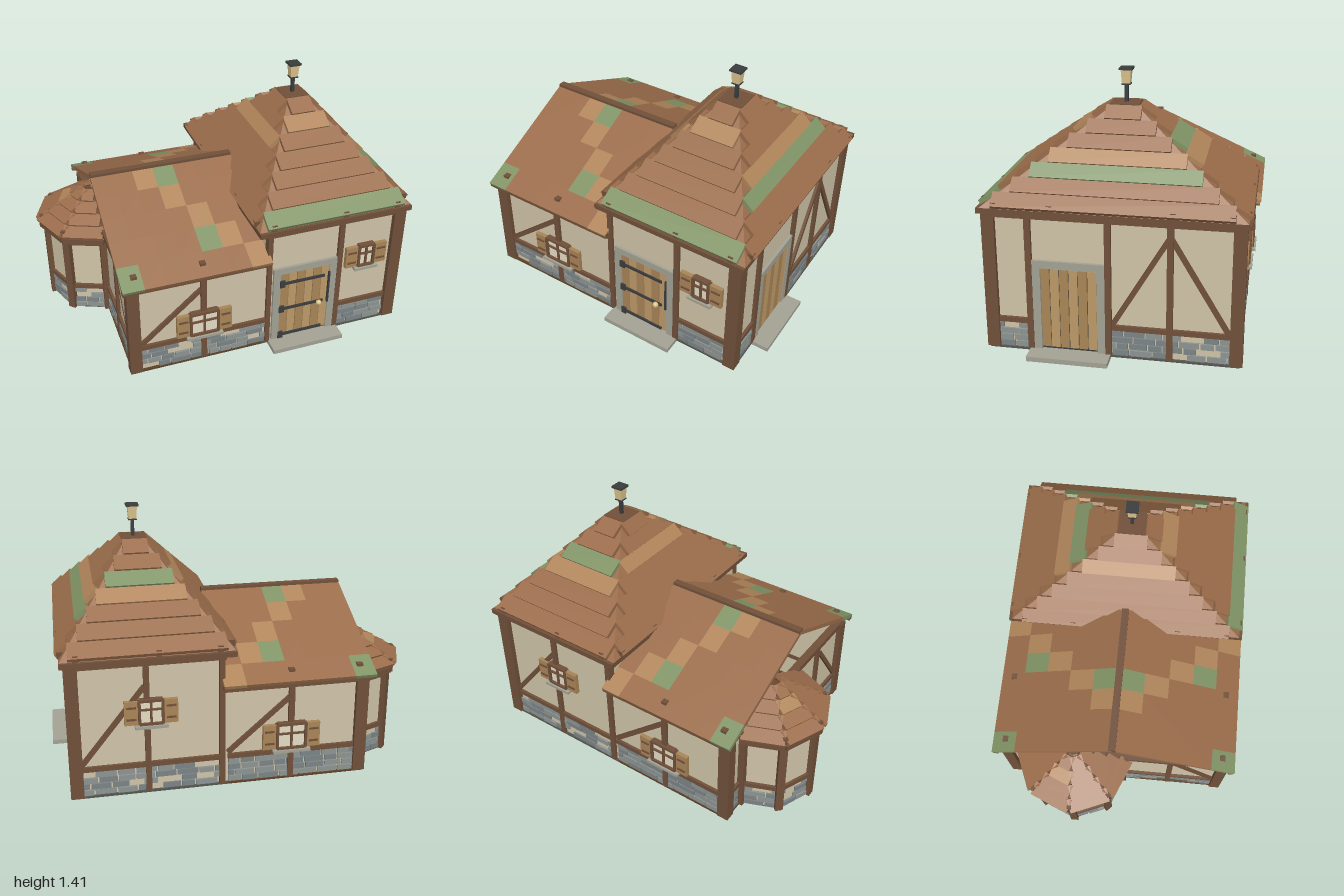
import * as THREE from 'three';

const C = { wall: 0xd0c4a8, timber: 0x70503a, stone: 0x8d9491, stone2: 0x7c8486, step: 0xa3a294, roof: 0x9a6c4a, light: 0xb0855a,
  green: 0x809365, plank: 0xa98557, plank2: 0xbd9a68, iron: 0x3a3c3e, glass: 0xe4dcc4, lamp: 0xdcc48c, floor: 0x555550, wood: 0x5c4228, under: 0x6a482f };
const mats = {};
const mat = c => (mats[c] ??= new THREE.MeshStandardMaterial({ color: C[c], flatShading: true, side: THREE.DoubleSide }));

let seed = 7;
const rand = () => (seed = (seed * 16807) % 2147483647) / 2147483647;

function mesh(parent, name, geometry, color) {
  const m = new THREE.Mesh(geometry, mat(color));
  m.name = name;
  parent.add(m);
  return m;
}
// Box given by its limits on each axis
function box(parent, name, color, x0, x1, y0, y1, z0, z1) {
  const m = mesh(parent, name, new THREE.BoxGeometry(x1 - x0, y1 - y0, z1 - z0), color);
  m.position.set((x0 + x1) / 2, (y0 + y1) / 2, (z0 + z1) / 2);
  return m;
}
function group(parent, name, x = 0, z = 0, turn = 0) {
  const g = new THREE.Group();
  g.name = name;
  g.position.set(x, 0, z);
  g.rotation.y = turn;
  parent.add(g);
  return g;
}

// Wall pieces: each wall is drawn as (u, y) with its outside facing local +z
const panel = (g, u0, u1, top) => box(g, 'plasterPanel', 'wall', u0, u1, 0.02, top, -0.02, 0);
const beam = (g, u0, u1, y0, y1, d = 0.018) => box(g, 'timberBeam', 'timber', u0, u1, y0, y1, -0.025, d);
function brace(g, u0, y0, u1, y1) {
  const m = mesh(g, 'brace', new THREE.BoxGeometry(Math.hypot(u1 - u0, y1 - y0), 0.026, 0.03), 'timber');
  m.position.set((u0 + u1) / 2, (y0 + y1) / 2, 0);
  m.rotation.z = Math.atan2(y1 - y0, u1 - u0);
}
function stones(g, u0, u1) {
  for (let r = 0; r < 4; r++) {
    let u = u0 + 0.004 - (r % 2) * 0.04;
    while (u < u1 - 0.01) {
      const w = 0.055 + rand() * 0.06, a = Math.max(u, u0 + 0.004), b = Math.min(u + w, u1 - 0.004);
      if (b - a > 0.012 && rand() > 0.12)
        box(g, 'stone', rand() > 0.5 ? 'stone' : 'stone2', a, b, 0.025 + r * 0.035, 0.055 + r * 0.035, -0.01, 0.008 + rand() * 0.006);
      u += w + 0.007;
    }
  }
  beam(g, u0, u1, 0.163, 0.19, 0.016);
}
function window_(wall, u, y, w, h) {
  const g = group(wall, 'window', u), W = w / 2, H = h / 2, t = 0.014;
  g.position.y = y;
  box(g, 'pane', 'glass', -W, W, -H, H, 0, 0.02);
  for (const s of [-1, 1]) {
    box(g, 'frameSide', 'timber', s * W - t / 2, s * W + t / 2, -H, H, 0, 0.034);
    box(g, 'frameRail', 'timber', -W, W, s * H - t / 2, s * H + t / 2, 0, 0.034);
    const c = s * (W + 0.043);
    box(g, 'shutter', 'plank', c - 0.035, c + 0.035, -H, H, 0.005, 0.028);
    for (const k of [-0.5, 0.5]) box(g, 'shutterBatten', 'timber', c - 0.025, c + 0.025, k * H - 0.005, k * H + 0.005, 0.02, 0.034);
  }
  box(g, 'mullion', 'timber', -0.006, 0.006, -H, H, 0, 0.03);
  box(g, 'glazingBar', 'timber', -W, W, 0.01, 0.02, 0, 0.03);
  box(g, 'sill', 'step', -W - 0.025, W + 0.025, -H - 0.02, -H - 0.005, 0, 0.045);
}
function door(wall, u0, u1, iron) {
  const g = group(wall, 'door'), a = u0 + 0.042, b = u1 - 0.042, n = 6, p = (b - a) / n;
  box(g, 'jamb', 'step', u0, a, 0.02, 0.515, -0.01, 0.016);
  box(g, 'jamb', 'step', b, u1, 0.02, 0.515, -0.01, 0.016);
  box(g, 'lintel', 'step', a, b, 0.475, 0.515, -0.01, 0.016);
  box(g, 'recess', 'iron', a, b, 0.02, 0.475, -0.01, 0.002);
  for (let i = 0; i < n; i++)
    box(g, 'doorPlank', i % 2 ? 'plank2' : 'plank', a + i * p + 0.002, a + (i + 1) * p - 0.002, 0.04, 0.472, 0, 0.012);
  box(g, 'doorStep', 'step', u0 - 0.02, u1 + 0.025, 0, 0.026, 0, 0.108);
  if (!iron) return;
  for (const y of [0.05, 0.235, 0.41]) {
    box(g, 'hingeStrap', 'iron', a + 0.005, b - 0.03, y - 0.008, y + 0.008, 0.01, 0.02);
    box(g, 'hingePlate', 'iron', a - 0.005, a + 0.025, y - 0.022, y + 0.022, 0.01, 0.022);
  }
  const knob = mesh(g, 'knob', new THREE.SphereGeometry(0.016, 10, 8), 'lamp');
  knob.position.set(b - 0.06, 0.235, 0.03);
  box(g, 'latch', 'iron', b - 0.008, b + 0.002, 0.22, 0.43, 0.01, 0.024);
}

// Sloped slab running from (y0, z0) at its foot to (y1, z1) at its head
function slab(g, name, color, u0, u1, y0, z0, y1, z1, thick, lift = 0, tilt = 0) {
  const run = z0 - z1, rise = y1 - y0, len = Math.hypot(run, rise);
  const m = mesh(g, name, new THREE.BoxGeometry(u1 - u0, len, thick), color);
  m.rotation.x = -Math.atan2(run, rise) - tilt;
  m.position.set((u0 + u1) / 2, (y0 + y1) / 2 + lift * run / len, (z0 + z1) / 2 + lift * rise / len);
}

function mainHouse(root) {
  const g = group(root, 'mainHouse');
  box(g, 'mainFloor', 'floor', 0.08, 0.9, 0.012, 0.022, -0.66, 0.62);

  const front = group(g, 'mainFrontWall', 0, 0.605);
  panel(front, 0.1, 0.89, 0.76);
  stones(front, 0.545, 0.84);
  for (const [a, b] of [[0.098, 0.125], [0.515, 0.545]]) beam(front, a, b, 0.02, 0.76);
  window_(front, 0.685, 0.498, 0.09, 0.13);
  door(front, 0.138, 0.515, true);

  const right = group(g, 'mainRightWall', 0.885, 0, Math.PI / 2);
  panel(right, -0.605, 0.645, 0.76);
  stones(right, -0.57, -0.417);
  stones(right, 0.015, 0.62);
  for (const u of [-0.401, 0, 0.308]) beam(right, u - 0.016, u + 0.016, 0.02, 0.76);
  brace(right, 0.02, 0.19, 0.3, 0.67);
  brace(right, 0.6, 0.19, 0.316, 0.67);
  door(right, -0.386, -0.015, false);

  const back = group(g, 'mainBackWall', 0, -0.645, Math.PI);
  panel(back, -0.89, -0.1, 0.76);
  stones(back, -0.85, -0.12);
  for (const u of [-0.5, -0.11]) beam(back, u - 0.015, u + 0.015, 0.02, 0.76);
  brace(back, -0.85, 0.19, -0.51, 0.62);
  window_(back, -0.48, 0.48, 0.12, 0.13);

  const left = group(g, 'mainLeftWall', 0.1, 0, -Math.PI / 2);
  panel(left, -0.645, 0.605, 0.76);

  for (const z of [0.6, -0.64]) box(g, 'cornerPost', 'timber', 0.838, 0.907, 0.02, 0.76, z - 0.033, z + 0.033);

  // Wall plate and eave frames
  for (const [x0, x1, z0, z1, y0, y1] of [[0.09, 0.905, -0.67, 0.63, 0.735, 0.76], [0.04, 0.925, -0.695, 0.65, 0.757, 0.785]])
    for (const [a, b, c, d] of [[x0, x1, z0, z0 + 0.035], [x0, x1, z1 - 0.035, z1], [x0, x0 + 0.035, z0, z1], [x1 - 0.035, x1, z0, z1]])
      box(g, 'eaveBeam', 'timber', a, b, y0, y1, c, d);

  // Hipped roof of overlapping courses
  const roof = group(g, 'mainRoof', 0.483, -0.022), rows = 7, Y0 = 0.785, Y1 = 1.225;
  const hx = t => 0.44 - 0.385 * t, hz = t => 0.655 - 0.585 * t;
  const core = new THREE.BoxGeometry(1, Y1 - Y0, 1), p = core.attributes.position;
  for (let i = 0; i < p.count; i++) {
    const t = p.getY(i) > 0 ? 1 : 0;
    p.setXYZ(i, 2 * p.getX(i) * hx(t), p.getY(i) + (Y0 + Y1) / 2, 2 * p.getZ(i) * hz(t));
  }
  mesh(roof, 'roofCore', core, 'roof');
  const accents = [{ 0: 'green', 5: 'light' }, { 2: 'green', 3: 'light' }, { 3: 'light', 4: 'green' }, { 4: 'light' }];
  for (let k = 0; k < 4; k++) {
    const face = group(roof, 'roofFace', 0, 0, k * Math.PI / 2);
    const [depth, width] = k % 2 ? [hx, hz] : [hz, hx];
    for (let r = 0; r < rows; r++) {
      const t0 = r / rows, t1 = (r + 1) / rows, w = width(t0 + 0.75 / rows);
      slab(face, 'shingleCourse', accents[k][r] ?? 'roof', -w, w, Y0 + t0 * (Y1 - Y0), depth(t0), Y0 + t1 * (Y1 - Y0), depth(t1), 0.022, 0.012, 0.1);
    }
    for (const s of k % 2 ? [-0.58, -0.3, 0.3, 0.58] : [-0.36, 0.05, 0.36])
      box(face, 'rafterEnd', 'timber', s - 0.014, s + 0.014, 0.785, 0.818, depth(0) - 0.06, depth(0) + 0.008);
  }
  box(roof, 'roofCap', 'timber', -0.07, 0.07, 1.22, 1.24, -0.075, 0.075);

  // Lantern on the peak
  const lantern = group(roof, 'lantern');
  box(lantern, 'lanternPole', 'iron', -0.009, 0.009, 1.235, 1.34, -0.009, 0.009);
  const glass = mesh(lantern, 'lanternGlass', new THREE.CylinderGeometry(0.037, 0.029, 0.072, 4), 'lamp');
  glass.position.y = 1.369;
  glass.rotation.y = Math.PI / 4;
  box(lantern, 'lanternCap', 'iron', -0.034, 0.034, 1.404, 1.415, -0.034, 0.034);
  box(lantern, 'lanternBase', 'iron', -0.023, 0.023, 1.328, 1.335, -0.023, 0.023);
}

function wing(root) {
  const g = group(root, 'wing');
  // Floor with a square hatch opening
  const s = new THREE.Shape([[-0.67, -0.62], [0.08, -0.62], [0.08, 0.66], [-0.67, 0.66]].map(q => new THREE.Vector2(...q)));
  s.holes.push(new THREE.Path([[-0.375, -0.155], [-0.375, 0.145], [-0.085, 0.145], [-0.085, -0.155]].map(q => new THREE.Vector2(...q))));
  const floor = mesh(g, 'wingFloor', new THREE.ExtrudeGeometry(s, { depth: 0.01, bevelEnabled: false }), 'wood');
  floor.rotation.x = -Math.PI / 2;
  floor.position.y = 0.012;

  for (const [name, z, turn, f] of [['wingFrontWall', 0.605, 0, 1], ['wingBackWall', -0.645, Math.PI, -1]]) {
    const w = group(g, name, 0, z, turn), e = [f * -0.66, f * 0.1].sort((a, b) => a - b);
    panel(w, e[0], e[1], 0.56);
    stones(w, e[0] + 0.02, e[1]);
    beam(w, -f * 0.262 - 0.016, -f * 0.262 + 0.016, 0.02, 0.56);
    beam(w, e[0], e[1], 0.55, 0.58, 0.02);
    if (f > 0) brace(w, -0.61, 0.2, -0.275, 0.49);
    else brace(w, -0.08, 0.2, 0.25, 0.49);
    window_(w, -f * 0.262, 0.27, 0.155, 0.14);
  }
  const left = group(g, 'wingLeftWall', -0.655, 0, -Math.PI / 2);
  for (const [a, b] of [[-0.645, -0.5], [0.015, 0.605]]) {
    panel(left, a, b, 0.56);
    stones(left, a, b);
  }
  beam(left, -0.645, 0.605, 0.55, 0.58, 0.02);
  beam(left, 0.29, 0.32, 0.02, 0.56);
  brace(left, 0.57, 0.2, 0.33, 0.52);
  for (const z of [0.6, -0.64]) box(g, 'cornerPost', 'timber', -0.682, -0.615, 0.02, 0.57, z - 0.03, z + 0.03);

  // Gabled roof laid in tiles with lighter and mossy patches
  const patch = { '0,2': 'light', '0,3': 'green', '1,3': 'light', '2,4': 'light', '3,4': 'green', '3,5': 'light', '4,0': 'green', '4,6': 'light' };
  const tw = 0.815 / 7;
  for (const f of [1, -1]) {
    const side = group(g, 'wingRoofSlope', 0, -0.025, f > 0 ? 0 : Math.PI);
    const at = t => [0.9 - 0.305 * t, 0.685 * t];
    for (let r = 0; r < 5; r++) for (let c = 0; c < 7; c++) {
      const x = f * (-0.705 + (c + 0.5) * tw);
      slab(side, 'roofTile', patch[r + ',' + c] ?? 'roof', x - tw / 2, x + tw / 2, ...at((r + 1) / 5), ...at(r / 5), 0.024);
    }
    const [a, b] = [-0.705 * f, 0.11 * f].sort((m, n) => m - n);
    box(side, 'eaveBoard', 'timber', a, b, 0.578, 0.606, 0.655, 0.682);
    for (const x of [-0.63, -0.26]) box(side, 'rafterEnd', 'timber', f * x - 0.016, f * x + 0.016, 0.62, 0.648, 0.6, 0.63);
  }
  box(g, 'ridgeBeam', 'timber', -0.705, 0.11, 0.885, 0.92, -0.045, -0.005);
}

function bay(root) {
  const g = group(root, 'bay', -0.67, -0.245), R = 0.27, ca = Math.cos(Math.PI / 8), sa = Math.sin(Math.PI / 8);
  const half = (name, r1, r0, y0, y1, color) => {
    const m = mesh(g, name, new THREE.CylinderGeometry(r1, r0, y1 - y0, 4, 1, false, Math.PI, Math.PI), color);
    m.position.y = (y0 + y1) / 2;
  };
  half('bayFloor', R, R, 0.012, 0.022, 'floor');
  half('bayRoofCore', 0.03, 0.31, 0.53, 0.7, 'under');
  for (let k = 0; k < 4; k++) {
    const turn = Math.PI * (1.125 + k / 4);
    const w = group(g, 'bayWall', Math.sin(turn) * R * ca, Math.cos(turn) * R * ca, turn), u = R * sa;
    panel(w, -u, u, 0.5);
    stones(w, -u + 0.015, u - 0.015);
    beam(w, -u, u, 0.47, 0.5, 0.014);
    beam(w, -u - 0.012, u + 0.012, 0.5, 0.53, 0.045);
    // Stepped roof courses
    const face = group(g, 'bayRoofFace', 0, 0, turn);
    for (let r = 0; r < 4; r++) {
      const r0 = 0.325 - r * 0.07, r1 = r0 - 0.075, y = 0.535 + r * 0.042, hw = (r0 * 0.65 + r1 * 0.35) * sa;
      slab(face, 'bayShingleCourse', r === 2 && k === 1 ? 'light' : 'roof', -hw, hw, y, r0 * ca, y + 0.042, r1 * ca, 0.018, 0.01, 0.12);
    }
  }
  for (let k = 0; k < 5; k++) {
    const a = Math.PI * (1 + k / 4), post = group(g, 'bayPost', Math.sin(a) * R, Math.cos(a) * R, a);
    box(post, 'postTimber', 'timber', -0.022, 0.022, 0.02, 0.52, -0.022, 0.022);
    box(post, 'rafterEnd', 'timber', -0.012, 0.012, 0.54, 0.575, 0, 0.04);
  }
}

export function createModel() {
  const root = new THREE.Group();
  root.name = 'cottage';
  mainHouse(root);
  wing(root);
  bay(root);
  return root;
}
